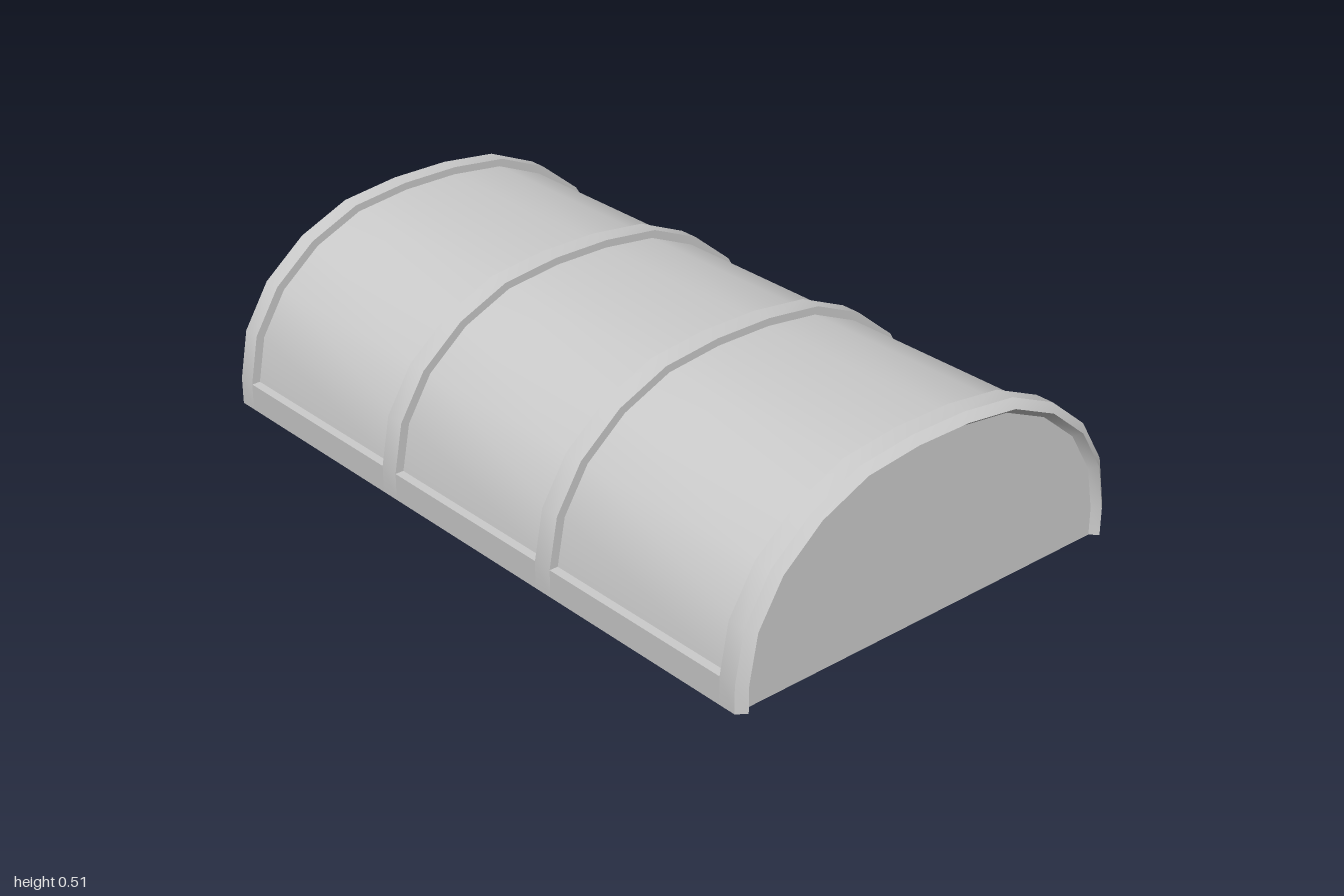
import * as THREE from 'three';
import { toCreasedNormals } from 'three/addons/utils/BufferGeometryUtils.js';

// Half of the barrel arch, from the base up to the crown
const HALF = [[0.615, 0], [0.615, 0.075], [0.59, 0.21], [0.515, 0.332],
  [0.395, 0.43], [0.25, 0.493], [0.085, 0.513]];
const ARCH = [...HALF, ...HALF.map(([x, y]) => [-x, y]).reverse()];
const FRAME = 0.96;  // inside of the frame, outside of the panels
const INNER = 0.927; // inside of the panels
const RAIL = 0.075;  // height of the base rails

const material = new THREE.MeshStandardMaterial({ color: 0xcccccc });

// Arch point scaled inwards; the straight base keeps its height
const archPoint = ([x, y], s) => [x * s, y > RAIL ? y * s : y];

// Sweeps a closed convex section of [scale, z] pairs over the arch
function sweep(path, section) {
  const pos = [];
  const n = section.length;
  const last = path.length - 1;
  const v = (i, j) => {
    const [s, z] = section[j % n];
    return [...archPoint(path[i], s), z];
  };
  for (let i = 0; i < last; i++) {
    for (let j = 0; j < n; j++) {
      const a = v(i, j), b = v(i + 1, j), c = v(i + 1, j + 1), d = v(i, j + 1);
      pos.push(...a, ...b, ...c, ...a, ...c, ...d);
    }
  }
  for (let j = 1; j < n - 1; j++) {
    pos.push(...v(0, 0), ...v(0, j), ...v(0, j + 1));
    pos.push(...v(last, 0), ...v(last, j + 1), ...v(last, j));
  }
  const geometry = new THREE.BufferGeometry();
  geometry.setAttribute('position', new THREE.Float32BufferAttribute(pos, 3));
  return toCreasedNormals(geometry, 0.6);
}

const band = (inner, outer, z0, z1) => [[outer, z0], [outer, z1], [inner, z1], [inner, z0]];

export function createModel() {
  const group = new THREE.Group();
  const add = (name, geometry, parent = group) => {
    const mesh = new THREE.Mesh(geometry, material);
    mesh.name = name;
    parent.add(mesh);
    return mesh;
  };

  // Bevelled end arches with a recessed flat wall
  const endSection = [[1, 0.93], [1, 0.98], [FRAME, 1], [0.93, 0.98], [0.93, 0.955], [FRAME, 0.93]];
  const wallShape = new THREE.Shape(ARCH.map(p => new THREE.Vector2(...archPoint(p, 0.93))));
  for (const [name, turn] of [['front', 0], ['back', Math.PI]]) {
    const end = new THREE.Group();
    end.name = name + 'End';
    end.rotation.y = turn;
    add(name + 'Arch', sweep(ARCH, endSection), end);
    const wall = new THREE.ExtrudeGeometry(wallShape, { depth: 0.025, bevelEnabled: false });
    add(name + 'Wall', wall.translate(0, 0, 0.955), end);
    group.add(end);
  }

  // Two middle ribs
  for (const z of [-0.335, 0.28]) add('rib', sweep(ARCH, band(FRAME, 1, z, z + 0.055)));

  // Three bays: a curved panel between two base rails
  const panelPath = ARCH.slice(1, -1);
  const thickness = 0.615 * (1 - FRAME);
  for (const [z0, z1] of [[-0.93, -0.335], [-0.28, 0.28], [0.335, 0.93]]) {
    add('panel', sweep(panelPath, band(INNER, FRAME, z0, z1)));
    for (const side of [-1, 1]) {
      const rail = add('baseRail', new THREE.BoxGeometry(thickness, RAIL, z1 - z0));
      rail.position.set(side * (0.615 - thickness / 2), RAIL / 2, (z0 + z1) / 2);
    }
  }
  return group;
}
